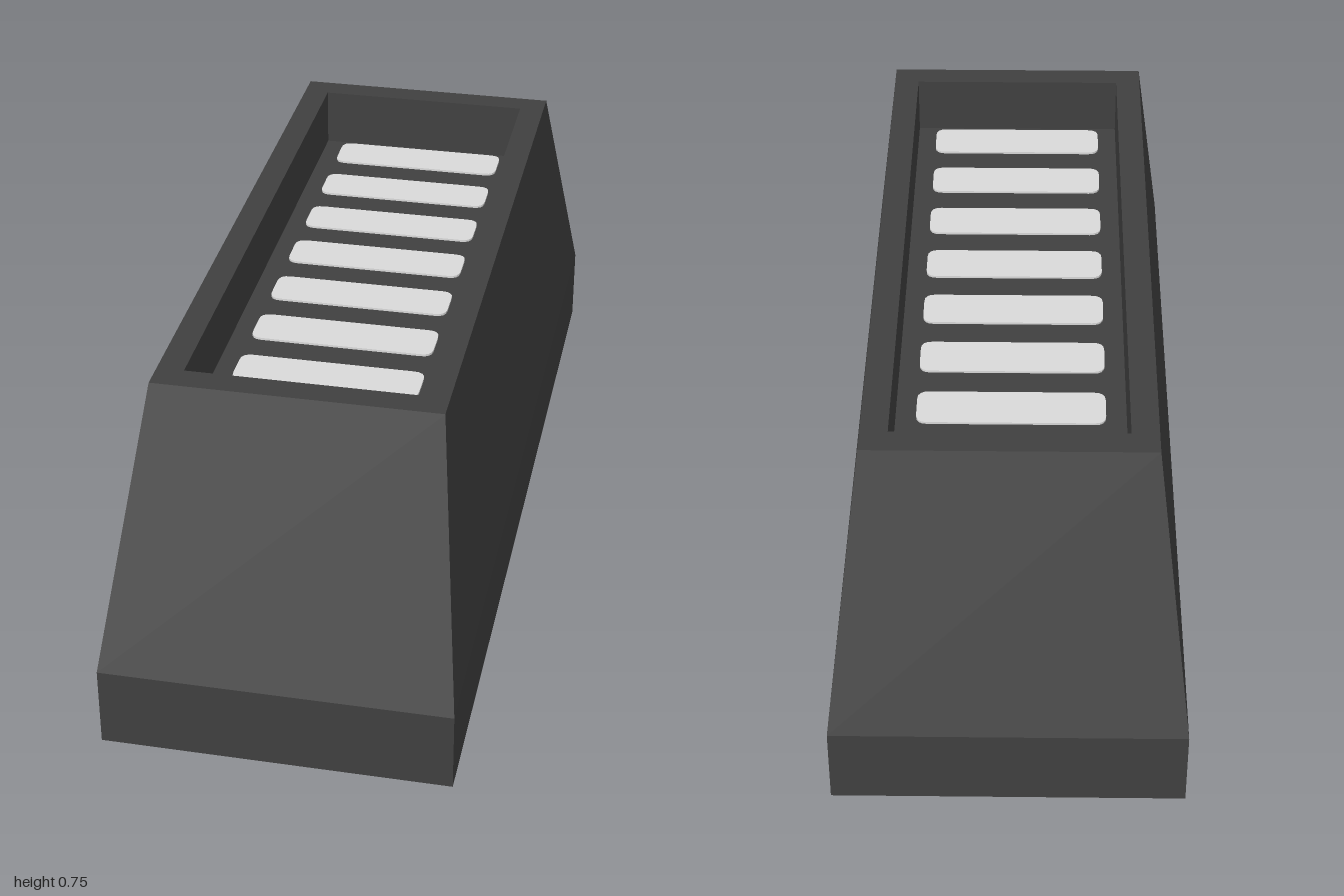
import * as THREE from 'three';

// Rectangular rings [halfX, y, halfZ] joined by flat quads, with optional end caps.
function loft(rings, capStart, capEnd) {
  const pos = [];
  const corners = ([x, y, z]) => [[-x, y, z], [x, y, z], [x, y, -z], [-x, y, -z]];
  const quad = (a, b, c, d) => pos.push(...a, ...b, ...c, ...a, ...c, ...d);
  for (let i = 0; i < rings.length - 1; i++) {
    const lo = corners(rings[i]), hi = corners(rings[i + 1]);
    for (let k = 0; k < 4; k++) {
      const n = (k + 1) % 4;
      quad(lo[k], lo[n], hi[n], hi[k]);
    }
  }
  if (capStart) {
    const [a, b, c, d] = corners(rings[0]);
    quad(d, c, b, a);
  }
  if (capEnd) quad(...corners(rings[rings.length - 1]));
  const geo = new THREE.BufferGeometry();
  geo.setAttribute('position', new THREE.Float32BufferAttribute(pos, 3));
  geo.computeVertexNormals();
  return geo;
}

// Flat bar outline with rounded corners.
function slatShape(w, h, r) {
  const x = w / 2, y = h / 2;
  const s = new THREE.Shape();
  s.moveTo(-x + r, -y);
  s.lineTo(x - r, -y);
  s.quadraticCurveTo(x, -y, x, -y + r);
  s.lineTo(x, y - r);
  s.quadraticCurveTo(x, y, x - r, y);
  s.lineTo(-x + r, y);
  s.quadraticCurveTo(-x, y, -x, y - r);
  s.lineTo(-x, -y + r);
  s.quadraticCurveTo(-x, -y, -x + r, -y);
  return s;
}

export function createModel() {
  const group = new THREE.Group();
  const dark = new THREE.MeshStandardMaterial({ color: 0x404040 });
  dark.name = 'charcoal';
  const light = new THREE.MeshStandardMaterial({ color: 0xdadada });
  light.name = 'paleGrey';

  const floorY = 0.61, topY = 0.745;

  // Plinth and tapered housing
  const housing = new THREE.Mesh(loft([
    [0.375, 0, 1], [0.375, 0.18, 1], [0.305, topY, 0.755],
  ], true, false), dark);
  housing.name = 'housing';
  group.add(housing);

  // Top rim, recess walls and recess floor
  const recess = new THREE.Mesh(loft([
    [0.305, topY, 0.755], [0.247, topY, 0.695], [0.247, floorY, 0.695],
  ], false, true), dark);
  recess.name = 'rimAndRecess';
  group.add(recess);

  // Row of pale slats on the recess floor
  const slatGeo = new THREE.ExtrudeGeometry(slatShape(0.406, 0.106, 0.025), {
    depth: 0.005, bevelEnabled: false, curveSegments: 4,
  });
  slatGeo.rotateX(-Math.PI / 2);
  for (let i = 0; i < 8; i++) {
    const slat = new THREE.Mesh(slatGeo, light);
    slat.name = `slat${i + 1}`;
    slat.position.set(0, floorY, (i - 3.5) * 0.1795);
    group.add(slat);
  }
  return group;
}
